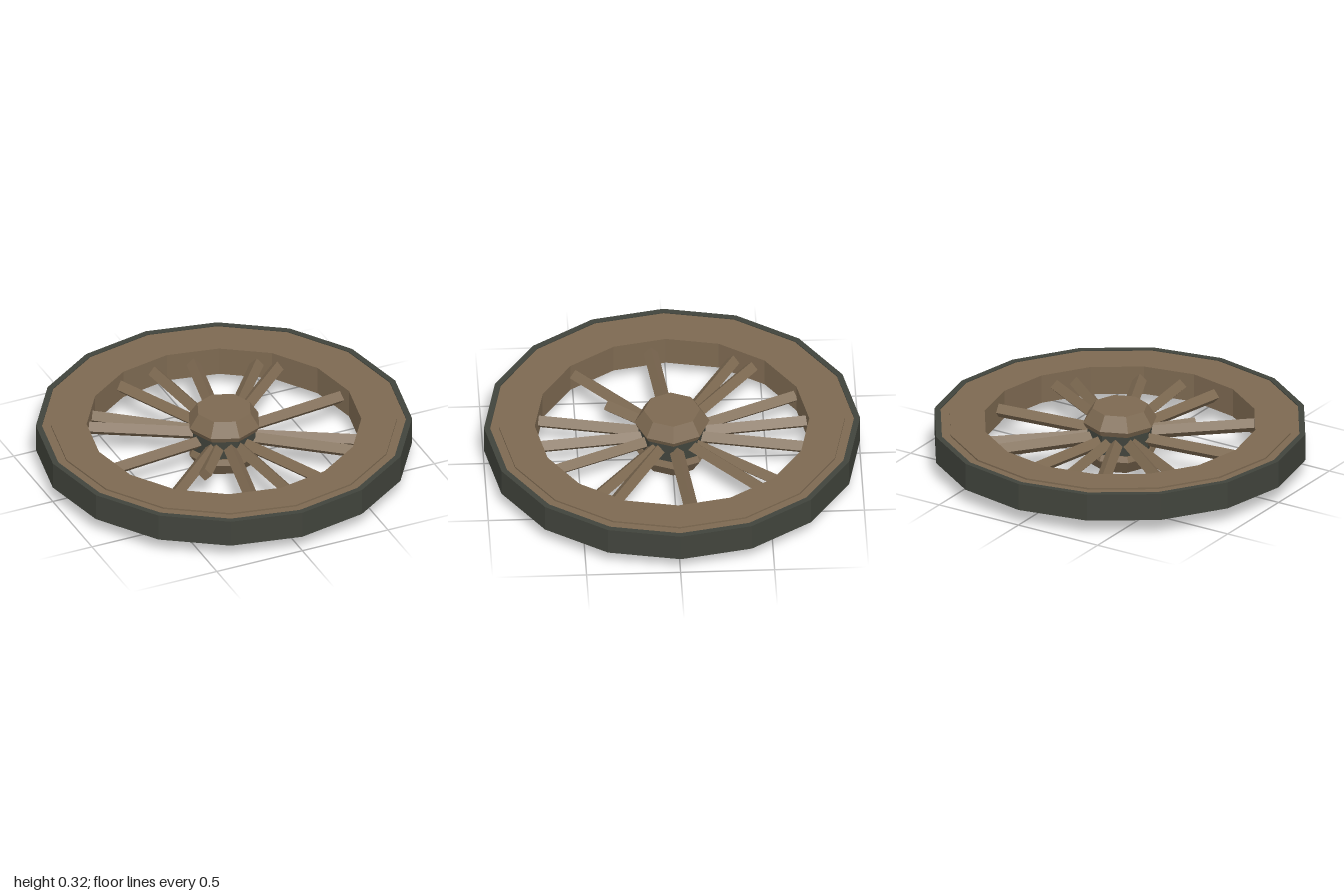
import * as THREE from 'three';

const wood = new THREE.MeshStandardMaterial({ color: 0x7d6951, flatShading: true });
wood.name = 'weathered wood';
const iron = new THREE.MeshStandardMaterial({ color: 0x41443c, flatShading: true });
iron.name = 'dark iron';

const MID = 0.1625; // height of the wheel's middle plane

// Closed or solid turned part from a counterclockwise (radius, height) profile
function turned(name, profile, sides, material) {
  const points = profile.map(([r, y]) => new THREE.Vector2(r, y));
  const mesh = new THREE.Mesh(new THREE.LatheGeometry(points, sides), material);
  mesh.name = name;
  mesh.position.y = MID;
  return mesh;
}

// Rectangular ring profile
const ring = (inner, outer, h) => [[inner, -h], [outer, -h], [outer, h], [inner, h], [inner, -h]];

// Square spoke set on edge, running outwards from the hub
function spoke(name, degrees, end) {
  const start = 0.1;
  const geometry = new THREE.BoxGeometry(end - start, 0.054, 0.054);
  geometry.rotateX(Math.PI / 4);
  geometry.translate((start + end) / 2, 0, 0);
  const mesh = new THREE.Mesh(geometry, wood);
  mesh.name = name;
  mesh.position.y = MID;
  mesh.rotation.y = THREE.MathUtils.degToRad(degrees);
  return mesh;
}

export function createModel() {
  const wheel = new THREE.Group();
  wheel.name = 'wagonWheel';

  // Rim: raised wooden felloe, lower outer lip and iron tyre
  wheel.add(turned('rim', ring(0.73, 0.92, 0.079), 16, wood));
  wheel.add(turned('rimLip', ring(0.9, 0.972, 0.07), 16, wood));
  wheel.add(turned('tyre', ring(0.968, 1, 0.075), 16, iron));

  // Hub: iron core between two bevelled wooden caps
  wheel.add(turned('hubCore', [[0, -0.07], [0.178, -0.07], [0.178, 0.07], [0, 0.07]], 8, iron));
  const cap = [[0, 0.055], [0.185, 0.055], [0.2, 0.085], [0.15, MID], [0, MID]];
  wheel.add(turned('upperHubCap', cap, 8, wood));
  const lower = cap.map(([r, y]) => [r, -y]).reverse();
  wheel.add(turned('lowerHubCap', lower, 8, wood));

  // Two overlapping sets of spokes, of eight and ten; one spoke is broken short
  const turn = 6.4;
  for (let i = 0; i < 8; i++) {
    const broken = i === 5;
    wheel.add(spoke(broken ? 'brokenSpoke' : 'spoke', turn + i * 45, broken ? 0.42 : 0.73));
  }
  for (let i = 0; i < 10; i++) {
    if (i % 5 !== 0) wheel.add(spoke('spoke', turn + i * 36, 0.73));
  }
  return wheel;
}
